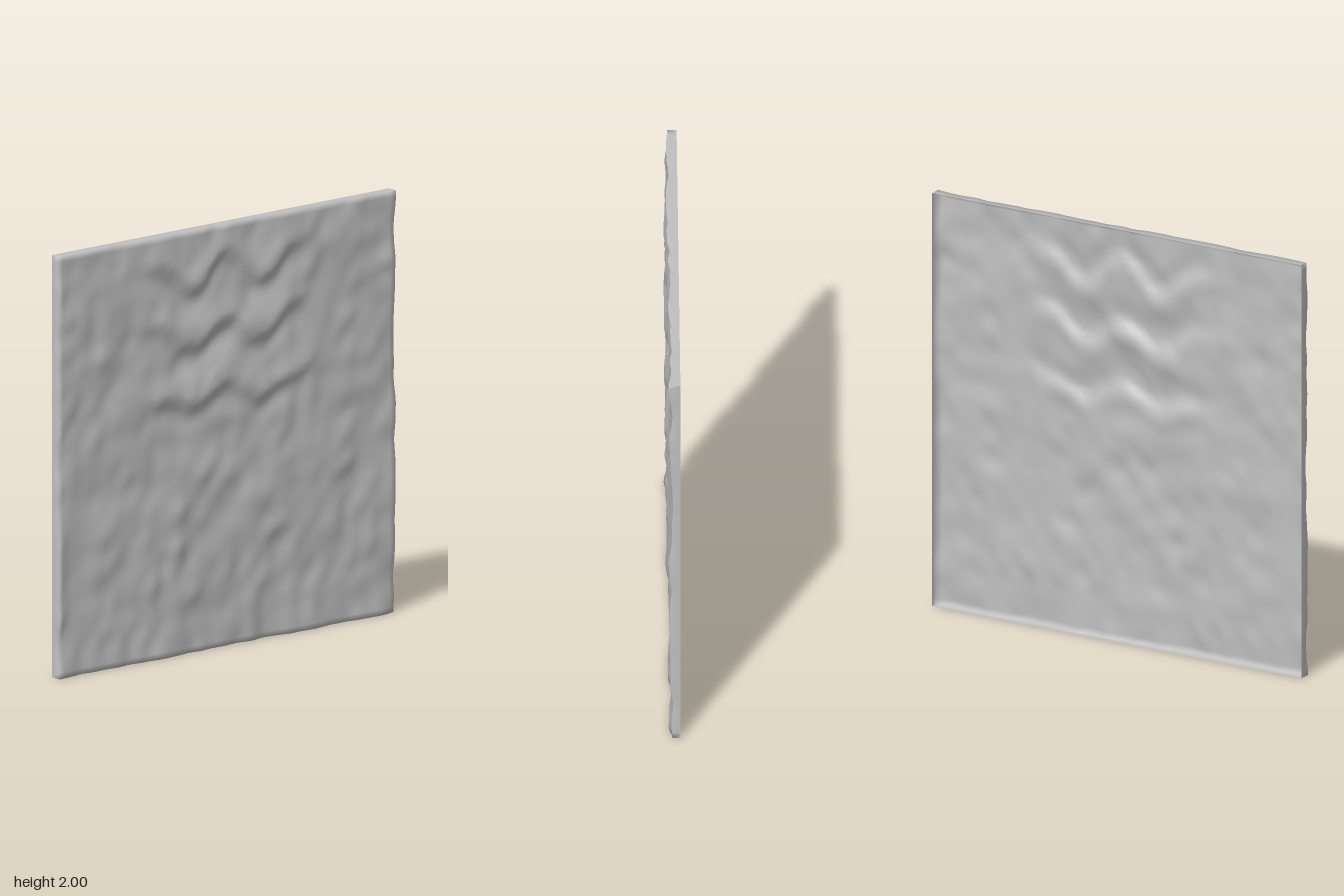
import * as THREE from 'three';

const CELLS = 72, BACK = -0.035;

// Seeded lattice noise, smooth, in -1..1
const hash = (i, j, s) => {
  const v = Math.sin(i * 127.1 + j * 311.7 + s * 74.7) * 43758.5453;
  return 2 * (v - Math.floor(v)) - 1;
};
function noise(x, y, s) {
  const i = Math.floor(x), j = Math.floor(y);
  const ease = t => t * t * (3 - 2 * t);
  const u = ease(x - i), v = ease(y - j), mix = THREE.MathUtils.lerp;
  return mix(mix(hash(i, j, s), hash(i + 1, j, s), u),
    mix(hash(i, j + 1, s), hash(i + 1, j + 1, s), u), v);
}

// Wavy ridges: x,y points along the lower lip of each fold
const ridges = [
  [[-0.6, 1.88], [-0.4, 1.83], [-0.2, 1.71], [0, 1.86], [0.2, 1.7], [0.4, 1.82], [0.6, 1.88]],
  [[-0.6, 1.56], [-0.4, 1.55], [-0.2, 1.43], [0, 1.53], [0.2, 1.42], [0.4, 1.55], [0.6, 1.62]],
  [[-0.6, 1.22], [-0.4, 1.19], [-0.2, 1.16], [0, 1.23], [0.2, 1.14], [0.4, 1.2], [0.6, 1.3]],
];
// Rounded bumps: x, y, radius, height
const bumps = [
  [-0.3, 0.51, 0.07, 0.017], [0.28, 0.52, 0.08, 0.018], [-0.28, 0.69, 0.07, 0.012],
  [0.2, 0.69, 0.08, 0.012], [0.3, 0.82, 0.08, 0.01], [-0.15, 0.84, 0.07, 0.01],
  [0.7, 0.75, 0.07, 0.011], [-0.75, 1.47, 0.08, 0.01], [0.72, 1.45, 0.08, 0.01],
  [-0.95, 1.68, 0.07, 0.012], [0.95, 1.68, 0.07, 0.012], [-0.2, 0.28, 0.07, 0.009],
  [0.2, 0.28, 0.07, 0.009], [-0.7, 0.28, 0.09, 0.009],
];

function lipHeight(points, x) {
  const t = THREE.MathUtils.clamp((x + 0.6) / 0.2, 0, 5.999), i = Math.floor(t);
  const f = (1 - Math.cos((t - i) * Math.PI)) / 2;
  return THREE.MathUtils.lerp(points[i][1], points[i + 1][1], f);
}

function relief(x, y) {
  let z = 0.009 + 0.008 * noise(x * 7, y * 6, 1) + 0.006 * noise(x * 14, y * 11, 2);
  // Vertical streaks toward the foot
  z += 0.007 * noise(x * 13, y * 3, 3) * THREE.MathUtils.smoothstep(1 - y, 0.1, 0.7);
  for (const points of ridges) {
    const d = y - lipHeight(points, x) - 0.035;
    const fade = 1 - THREE.MathUtils.smoothstep(Math.abs(x), 0.3, 0.6);
    const width = d > 0 ? 0.09 : 0.035;
    z += fade * (0.018 * Math.exp(-((d / width) ** 2)) - 0.009 * Math.exp(-(((d + 0.09) / 0.05) ** 2)));
  }
  for (const [bx, by, r, h] of bumps) {
    z += h * Math.exp(-((x - bx) ** 2 + (y - by) ** 2) / (r * r * 0.5));
  }
  return THREE.MathUtils.clamp(z, -0.014, 0.03);
}

export function createModel() {
  const group = new THREE.Group();
  const stone = new THREE.MeshStandardMaterial({ color: 0xbfbfbf, side: THREE.DoubleSide });
  stone.name = 'stone grey';

  // Open-backed sheet whose outermost ring of points folds back into a rim
  const n = CELLS + 2;
  const sheet = new THREE.PlaneGeometry(2, 2, n, n);
  const pos = sheet.attributes.position;
  for (let row = 0; row <= n; row++) {
    for (let col = 0; col <= n; col++) {
      const x = THREE.MathUtils.clamp(((col - 1) / CELLS) * 2 - 1, -1, 1);
      const y = THREE.MathUtils.clamp(2 - ((row - 1) / CELLS) * 2, 0, 2);
      const rim = row === 0 || col === 0 || row === n || col === n;
      pos.setXYZ(row * (n + 1) + col, x, y, rim ? BACK : relief(x, y));
    }
  }
  sheet.computeVertexNormals();
  const panel = new THREE.Mesh(sheet, stone);
  panel.name = 'reliefPanel';
  group.add(panel);
  return group;
}
